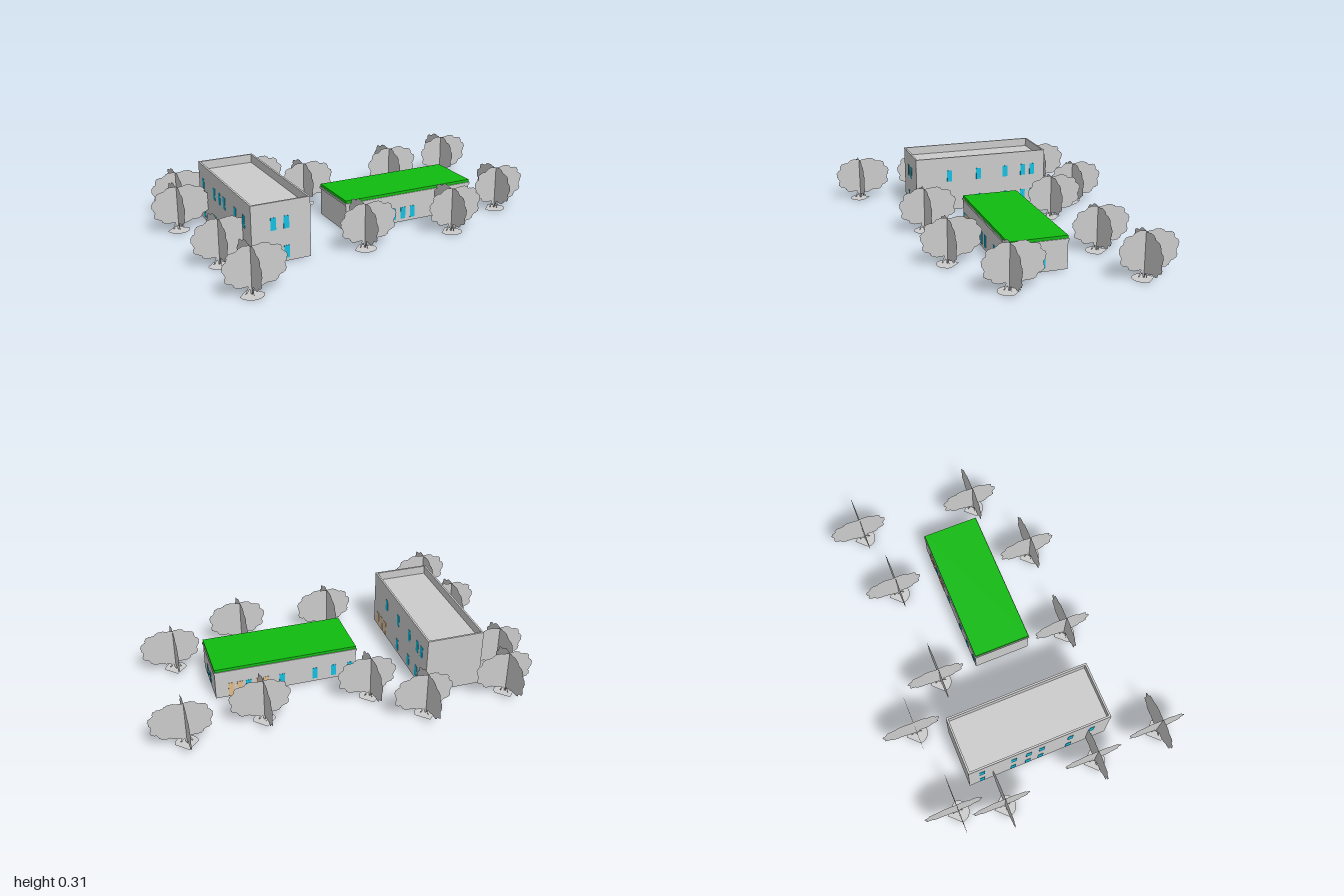
import * as THREE from 'three';

const mat = (color, side = THREE.FrontSide) => new THREE.MeshStandardMaterial({ color, side });
const grey = mat(0xcccccc);
const greyThin = mat(0xcccccc, THREE.DoubleSide);
const green = mat(0x11bb11);
const blue = mat(0x14bfe2);
const tan = mat(0xe0bc88);

function add(parent, name, geometry, material) {
  const mesh = new THREE.Mesh(geometry, material);
  mesh.name = name;
  parent.add(mesh);
  return mesh;
}

// Box given by its minimum and maximum corners
function block(parent, name, x0, x1, y0, y1, z0, z1, material = grey) {
  const mesh = add(parent, name, new THREE.BoxGeometry(x1 - x0, y1 - y0, z1 - z0), material);
  mesh.position.set((x0 + x1) / 2, (y0 + y1) / 2, (z0 + z1) / 2);
}

// Row of thin panels on a wall; axis is the wall's normal, at its plane
function panels(parent, name, axis, at, centres, y0, y1, width, material) {
  const t = 0.002;
  for (const c of centres) {
    const a = c - width / 2, b = c + width / 2;
    if (axis === 'x') block(parent, name, at - t, at + t, y0, y1, a, b, material);
    else block(parent, name, a, b, y0, y1, at - t, at + t, material);
  }
}

const LOW = [0.022, 0.085], HIGH = [0.172, 0.235], DOOR = [0.008, 0.085];
const WIDE = 0.028;

// Two-storey building with a sunken flat roof behind a parapet
function tallBuilding() {
  const g = new THREE.Group();
  g.name = 'tallBuilding';
  const x0 = -0.705, x1 = -0.405, z0 = -0.41, z1 = 0.345, top = 0.31, t = 0.01;
  block(g, 'storeys', x0, x1, 0.005, 0.265, z0, z1);
  block(g, 'parapetLeft', x0, x0 + t, 0.265, top, z0, z1);
  block(g, 'parapetRight', x1 - t, x1, 0.265, top, z0, z1);
  block(g, 'parapetBack', x0 + t, x1 - t, 0.265, top, z0, z0 + t);
  block(g, 'parapetFront', x0 + t, x1 - t, 0.265, top, z1 - t, z1);

  const east = [-0.015, -0.173, -0.28, -0.335];
  const west = [-0.34, -0.17, -0.09, -0.02, 0.135, 0.25];
  for (const level of [LOW, HIGH]) {
    panels(g, 'frontWindow', 'z', z1, [-0.595, -0.529], ...level, WIDE, blue);
    panels(g, 'sideWindow', 'x', x1, level === HIGH ? [0.155, ...east] : east, ...level, WIDE, blue);
    panels(g, 'sideWindow', 'x', x0, west, ...level, WIDE, blue);
  }
  panels(g, 'door', 'x', x1, [0.285, 0.225, 0.175], ...DOOR, 0.03, tan);
  return g;
}

// Single-storey building with a green roof
function lowBuilding() {
  const g = new THREE.Group();
  g.name = 'lowBuilding';
  const x0 = -0.122, x1 = 0.622, z0 = -0.142, z1 = 0.157;
  block(g, 'walls', x0, x1, 0.005, 0.15, z0, z1);
  block(g, 'roofSlab', x0 - 0.004, x1 + 0.004, 0.15, 0.16, z0 - 0.004, z1 + 0.004);
  block(g, 'greenRoof', x0, x1, 0.16, 0.175, z0, z1, green);

  panels(g, 'frontWindow', 'z', z1, [-0.1, 0.1, 0.157, 0.213, 0.27, 0.42, 0.525], ...LOW, WIDE, blue);
  panels(g, 'frontDoor', 'z', z1, [-0.062, -0.025, 0.012], ...DOOR, 0.03, tan);
  panels(g, 'backWindow', 'z', z0, [0.45, 0.275, 0.1, 0, -0.09], ...LOW, WIDE, blue);
  panels(g, 'backDoor', 'z', z0, [0.54, 0.495, 0.4, 0.36], ...DOOR, 0.03, tan);
  panels(g, 'endWindow', 'x', x1, [0.055, -0.015], ...LOW, WIDE, blue);
  return g;
}

// Lumpy crown silhouette, slightly off centre from the trunk
function crownGeometry() {
  const pts = [];
  const n = 88;
  const power = (v, p) => Math.sign(v) * Math.pow(Math.abs(v), p);
  for (let i = 0; i < n; i++) {
    const a = (i / n) * Math.PI * 2;
    const lump = 0.9 + 0.1 * Math.abs(Math.sin(5.5 * a + 0.6)) - 0.02 * (i % 2);
    pts.push(new THREE.Vector2(
      0.02 + 0.156 * lump * power(Math.cos(a), 0.85),
      0.135 + 0.105 * lump * power(Math.sin(a), 0.8)));
  }
  return new THREE.ShapeGeometry(new THREE.Shape(pts));
}

// Flat trunk that splits into thin roots
function trunkGeometry() {
  const outline = [[-0.012, 0.05], [-0.03, 0.008], [-0.023, 0.008], [-0.01, 0.028],
    [-0.004, 0.003], [0.004, 0.003], [0.01, 0.028], [0.025, 0.01], [0.031, 0.01], [0.014, 0.05]];
  return new THREE.ShapeGeometry(new THREE.Shape(outline.map(p => new THREE.Vector2(...p))));
}

// Ground patch: half disc with a point towards the back
function patchGeometry() {
  const r = 0.057;
  const s = new THREE.Shape();
  s.moveTo(r, 0);
  s.lineTo(0, r);
  s.lineTo(-r, 0);
  s.absarc(0, 0, r, Math.PI, Math.PI * 2, false);
  return new THREE.ShapeGeometry(s, 16).rotateX(-Math.PI / 2);
}

const TREES = [
  [-0.805, -0.513], [-0.345, -0.564], [-0.13, -0.348], [0.428, -0.378], [0.822, -0.44],
  [-0.868, -0.283], [-0.826, 0.233], [-0.125, 0.37], [0.372, 0.377], [0.77, 0.198], [-0.805, 0.597],
];

export function createModel() {
  const model = new THREE.Group();
  model.name = 'buildingSite';
  model.add(tallBuilding(), lowBuilding());

  // Trees made of two crossed flat silhouettes on a ground patch
  const crown = crownGeometry(), trunk = trunkGeometry(), patch = patchGeometry();
  for (const [x, z] of TREES) {
    const tree = new THREE.Group();
    tree.name = 'tree';
    tree.position.set(x, 0, z);
    for (const turn of [0, Math.PI / 2]) {
      add(tree, 'crown', crown, greyThin).rotation.y = turn;
      add(tree, 'trunk', trunk, greyThin).rotation.y = turn;
    }
    add(tree, 'groundPatch', patch, greyThin);
    model.add(tree);
  }
  return model;
}
